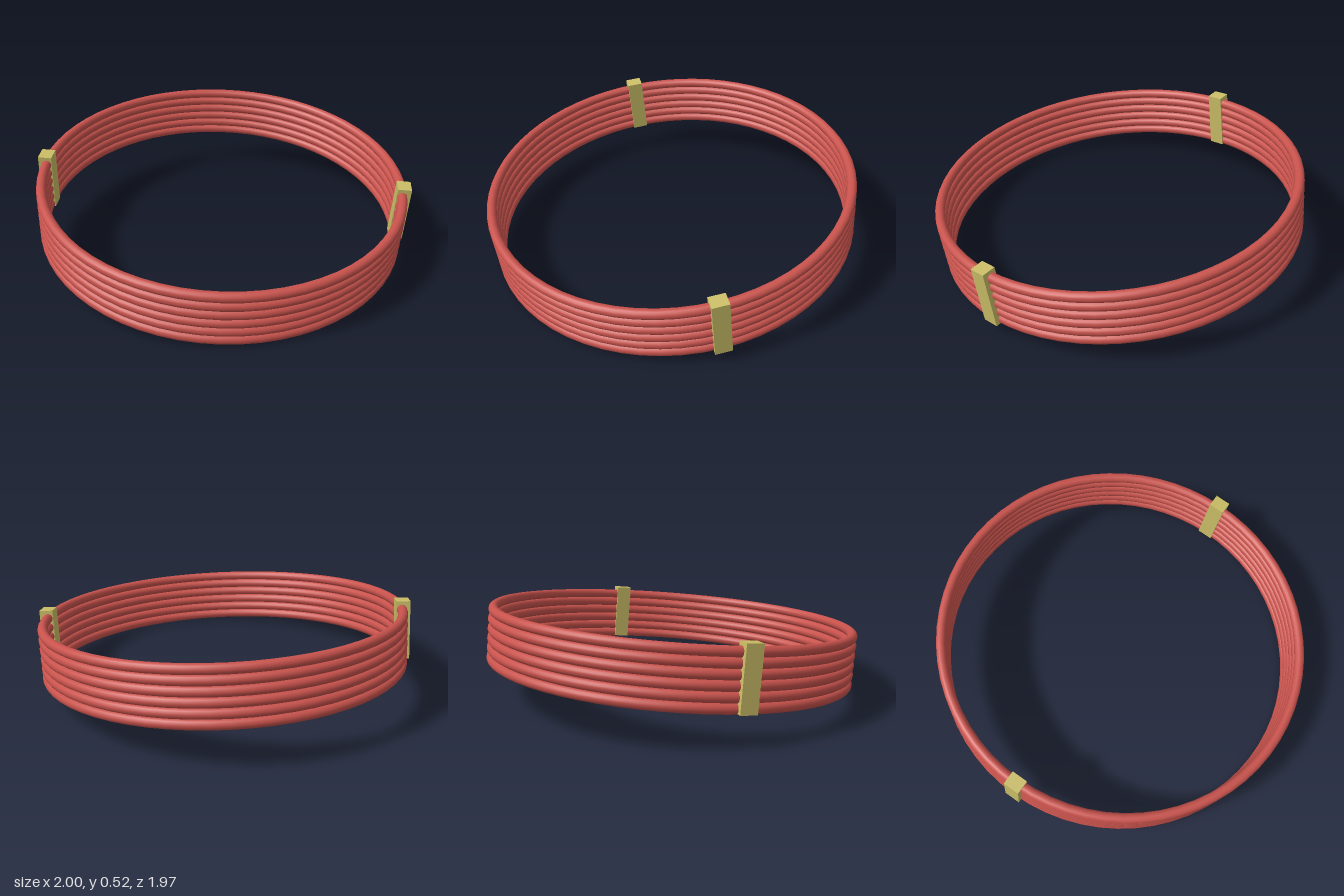
import * as THREE from 'three';

export function createModel() {
  const red = new THREE.MeshStandardMaterial({ color: 0xc8524c });
  red.name = 'red wire';
  const brass = new THREE.MeshStandardMaterial({ color: 0xcabd66 });
  brass.name = 'pale brass';

  const RADIUS = 0.95, WIRE = 0.0255, PITCH = 0.0505, COUNT = 6;

  // Stack of closed rings, tilted as a whole
  const bangle = new THREE.Group();
  bangle.name = 'bangle';
  const ringGeometry = new THREE.TorusGeometry(RADIUS, WIRE, 16, 64).rotateX(Math.PI / 2);
  for (let i = 0; i < COUNT; i++) {
    const ring = new THREE.Mesh(ringGeometry, red);
    ring.name = `ring${i + 1}`;
    ring.position.y = (i - (COUNT - 1) / 2) * PITCH;
    bangle.add(ring);
  }

  // Clips binding the rings on both sides
  const clipGeometry = new THREE.BoxGeometry(0.072, 0.315, 0.085);
  for (const side of [1, -1]) {
    const clip = new THREE.Mesh(clipGeometry, brass);
    clip.name = side > 0 ? 'leftClip' : 'rightClip';
    clip.position.set(side * 0.956, 0.012, 0);
    bangle.add(clip);
  }

  bangle.rotation.set(0.102, 0, -0.051);
  bangle.position.y = 0.257;

  const model = new THREE.Group();
  model.name = 'stackedBangle';
  model.add(bangle);
  return model;
}
